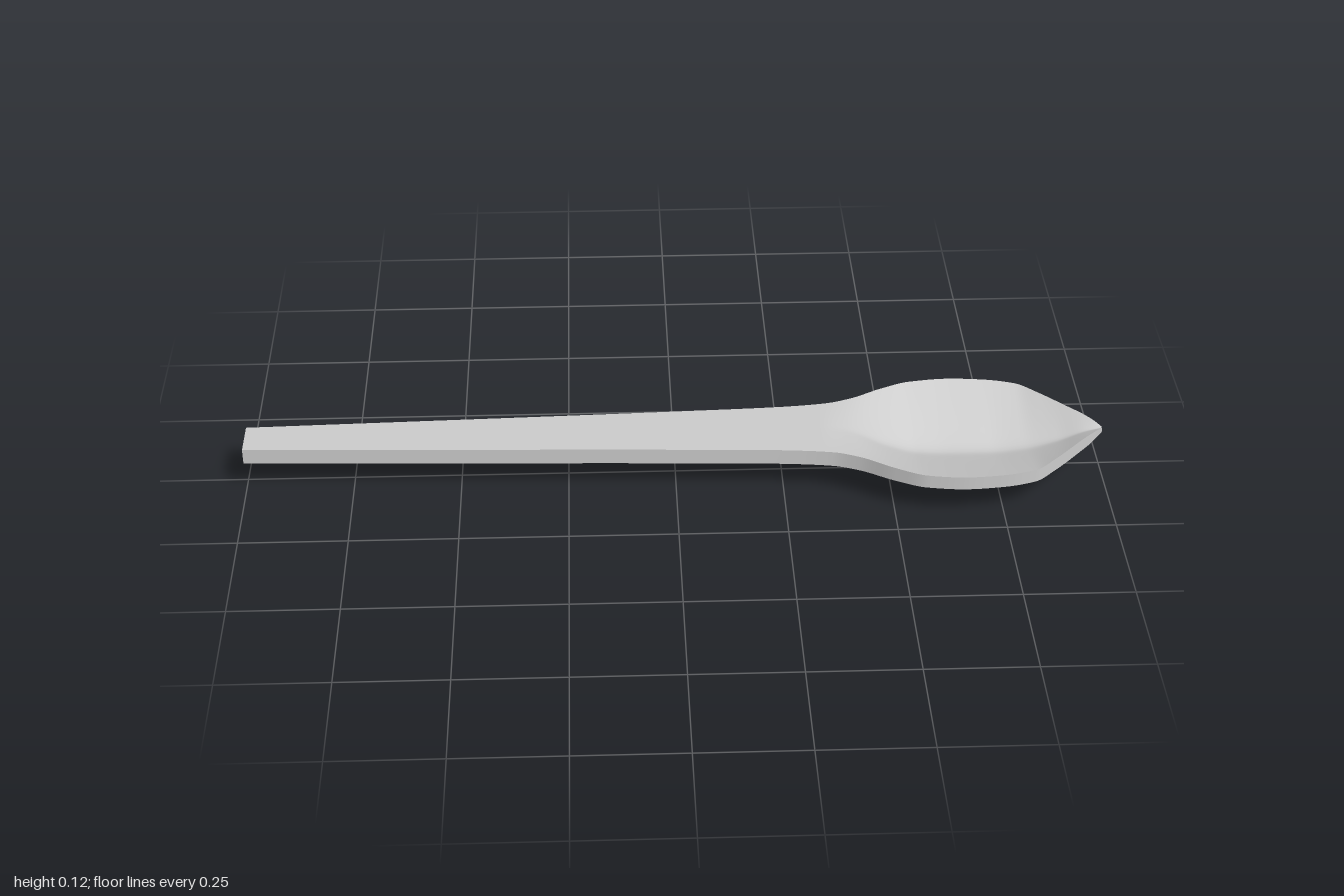
import * as THREE from 'three';
import { mergeGeometries } from 'three/addons/utils/BufferGeometryUtils.js';

// Monotone cubic interpolation through [x, value] pairs
function profile(pts) {
  const n = pts.length;
  const d = pts.slice(1).map((p, i) => (p[1] - pts[i][1]) / (p[0] - pts[i][0]));
  const m = pts.map((_, i) => {
    if (i === 0) return d[0];
    if (i === n - 1) return d[n - 2];
    return d[i - 1] * d[i] <= 0 ? 0 : (2 * d[i - 1] * d[i]) / (d[i - 1] + d[i]);
  });
  return (x) => {
    let i = 0;
    while (i < n - 2 && x > pts[i + 1][0]) i++;
    const h = pts[i + 1][0] - pts[i][0];
    const t = (x - pts[i][0]) / h, t2 = t * t, t3 = t2 * t;
    return (2 * t3 - 3 * t2 + 1) * pts[i][1] + (t3 - 2 * t2 + t) * h * m[i]
      + (3 * t2 - 2 * t3) * pts[i + 1][1] + (t3 - t2) * h * m[i + 1];
  };
}

// Curves along the length: half width, rim, lower edge of the side wall, keel and inner groove
const halfWidth = profile([[-1, 0.046], [0.1, 0.083], [0.25, 0.09], [0.36, 0.102], [0.42, 0.122], [0.5, 0.167],
  [0.57, 0.196], [0.66, 0.206], [0.74, 0.2], [0.82, 0.18], [0.87, 0.138], [0.93, 0.077], [0.98, 0.026], [1, 0.004]]);
const rim = profile([[-1, 0.115], [0.36, 0.115], [0.6, 0.11], [0.95, 0.11], [0.98, 0.107], [1, 0.1]]);
const wall = profile([[-1, 0.077], [0.9, 0.077], [0.96, 0.08], [1, 0.09]]);
const keel = profile([[-1, 0.075], [0.34, 0.075], [0.4, 0.066], [0.5, 0.022], [0.57, 0.003], [0.64, 0],
  [0.74, 0], [0.8, 0.005], [0.88, 0.027], [0.95, 0.06], [0.985, 0.078], [1, 0.09]]);
const groove = profile([[-1, 0.115], [0.34, 0.115], [0.4, 0.106], [0.5, 0.063], [0.57, 0.043], [0.64, 0.039],
  [0.74, 0.039], [0.82, 0.047], [0.9, 0.067], [0.96, 0.09], [1, 0.099]]);

// Softened V: 1 at the middle, 0 at the edges
const soft = 0.06;
const vee = (t) => (Math.sqrt(1 + soft * soft) - Math.hypot(t, soft)) / (Math.sqrt(1 + soft * soft) - soft);
const mix = (a, b, t) => a + (b - a) * t;

// Grid surface from point(u, v); its front is on the side of (dv x du)
function surface(us, vs, point) {
  const pos = [], index = [], n = vs.length;
  for (const u of us) for (const v of vs) pos.push(...point(u, v));
  for (let i = 0; i < us.length - 1; i++) {
    for (let j = 0; j < n - 1; j++) {
      const a = i * n + j, b = a + 1, c = a + n, d = c + 1;
      index.push(a, b, c, b, d, c);
    }
  }
  const g = new THREE.BufferGeometry();
  g.setAttribute('position', new THREE.Float32BufferAttribute(pos, 3));
  g.setIndex(index);
  g.computeVertexNormals();
  return g;
}

const range = (a, b, n) => Array.from({ length: n + 1 }, (_, i) => mix(a, b, i / n));

// One stretch of the spoon: top, underside and both side walls
function shell(xs) {
  const across = range(-1, 1, 32);
  const back = [...across].reverse();
  const topY = (x, t) => mix(rim(x), groove(x), vee(t));
  const lowY = (x, t) => mix(wall(x), keel(x), vee(t));
  return [
    surface(xs, back.slice().reverse(), (x, t) => [x, topY(x, t), t * halfWidth(x)]),
    surface(xs, back, (x, t) => [x, lowY(x, t), t * halfWidth(x)]),
    surface(xs, [0, 1], (x, t) => [x, mix(rim(x), wall(x), t), halfWidth(x)]),
    surface(xs, [0, 1], (x, t) => [x, mix(wall(x), rim(x), t), -halfWidth(x)]),
  ];
}

// Flat closing face between the top and underside at one end
function cap(x, dir) {
  const zs = range(-dir, dir, 16);
  return surface([1, 0], zs, (u, t) => [x, u ? mix(rim(x), groove(x), vee(t)) : mix(wall(x), keel(x), vee(t)),
    -t * halfWidth(x)]);
}

export function createModel() {
  const group = new THREE.Group();
  group.name = 'spoon';
  const material = new THREE.MeshStandardMaterial({ color: 0xcccccc, side: THREE.DoubleSide });
  const add = (name, parts) => {
    const mesh = new THREE.Mesh(mergeGeometries(parts), material);
    mesh.name = name;
    group.add(mesh);
  };

  // Tapering flat handle
  add('handle', [...shell(range(-1, 0.3, 30)), cap(-1, -1)]);
  // Leaf-shaped bowl with a V-shaped keel and groove
  add('bowl', [...shell(range(0.3, 1, 90)), cap(1, 1)]);
  return group;
}
